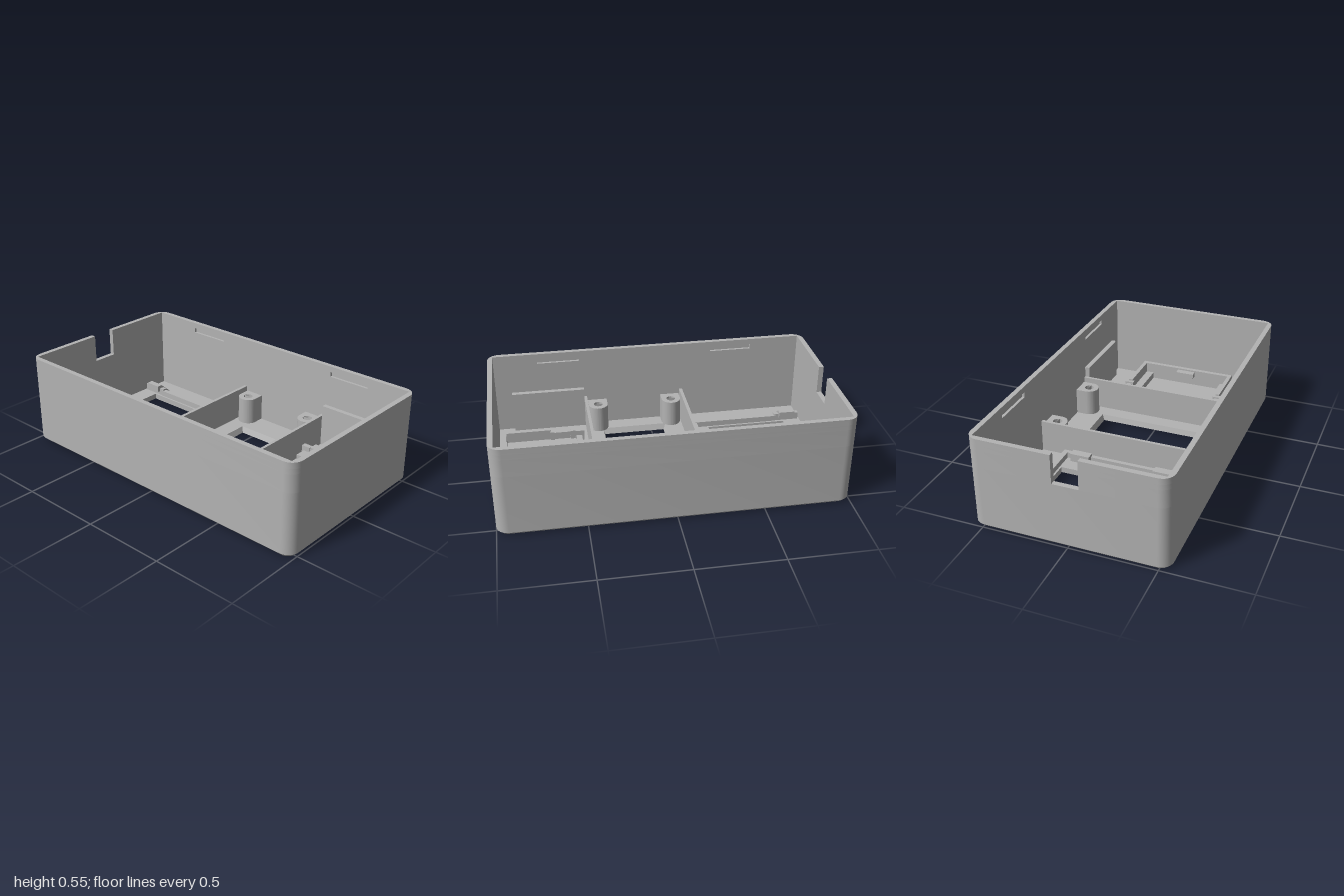
import * as THREE from 'three';
import { toCreasedNormals } from 'three/addons/utils/BufferGeometryUtils.js';

const W = 0.56, D = 1, H = 0.55, IX = 0.53, IZ = 0.97;
const FLOOR = 0.035, CHAMFER = 0.02;

export function createModel() {
  const model = new THREE.Group();
  model.name = 'enclosure';
  const grey = new THREE.MeshStandardMaterial({ color: 0xb3b3b3, side: THREE.DoubleSide });
  grey.name = 'grey plastic';

  const add = (name, geometry) => {
    const mesh = new THREE.Mesh(geometry, grey);
    mesh.name = name;
    model.add(mesh);
    return mesh;
  };
  // box given by its limits
  const box = (name, x0, x1, y0, y1, z0, z1) =>
    add(name, new THREE.BoxGeometry(Math.abs(x1 - x0), y1 - y0, z1 - z0))
      .position.set((x0 + x1) / 2, (y0 + y1) / 2, (z0 + z1) / 2);
  // mirrored pair of boxes
  const pair = (name, x0, x1, ...rest) => {
    box(name + 'Left', x0, x1, ...rest);
    box(name + 'Right', -x1, -x0, ...rest);
  };

  // plan outlines are lists of [x, z]
  const rect = (x0, x1, z0, z1) => [[x0, z0], [x1, z0], [x1, z1], [x0, z1]];
  const roundRect = (w, d, r) => {
    const pts = [];
    [[1, -1], [1, 1], [-1, 1], [-1, -1]].forEach(([sx, sz], q) => {
      for (let i = 0; i <= 10; i++) {
        const a = (q - 1 + i / 10) * Math.PI / 2;
        pts.push([sx * (w - r) + r * Math.cos(a), sz * (d - r) + r * Math.sin(a)]);
      }
    });
    return pts;
  };
  const toShape = (pts, holes = [], sign = -1) => {
    const v = (list) => list.map(([x, z]) => new THREE.Vector2(x, sign * z));
    const shape = new THREE.Shape(v(pts));
    holes.forEach((h) => shape.holes.push(new THREE.Path(v(h))));
    return shape;
  };
  const prism = (name, shape, y0, y1) => {
    const g = new THREE.ExtrudeGeometry(shape, { depth: y1 - y0, bevelEnabled: false, curveSegments: 20 });
    g.rotateX(-Math.PI / 2).translate(0, y0, 0);
    add(name, toCreasedNormals(g, 0.6));
  };
  // band of faces between two matching outlines
  const band = (name, a, ya, b, yb) => {
    const pos = [];
    a.forEach((p, i) => {
      const j = (i + 1) % a.length;
      const A = [p[0], ya, p[1]], B = [a[j][0], ya, a[j][1]];
      const C = [b[j][0], yb, b[j][1]], E = [b[i][0], yb, b[i][1]];
      pos.push(...A, ...C, ...B, ...A, ...E, ...C);
    });
    const g = new THREE.BufferGeometry();
    g.setAttribute('position', new THREE.Float32BufferAttribute(pos, 3));
    g.computeVertexNormals();
    add(name, toCreasedNormals(g, 0.6));
  };

  // floor with two windows, the middle one flared towards the inside
  const outer = roundRect(W, D, 0.07);
  const base = roundRect(W - CHAMFER, D - CHAMFER, 0.05);
  const backWindow = rect(-0.34, 0.34, -0.86, -0.36);
  const midWindow = rect(-0.42, 0.35, -0.08, 0.3);
  const midFlare = rect(-0.437, 0.365, -0.095, 0.31);
  add('floorUnderside', new THREE.ShapeGeometry(toShape(base, [backWindow, midWindow], 1)).rotateX(Math.PI / 2));
  add('floorTop', new THREE.ShapeGeometry(toShape(rect(-IX, IX, -IZ, IZ), [backWindow, midFlare]))
    .rotateX(-Math.PI / 2).translate(0, FLOOR, 0));
  band('bottomChamfer', base, 0, outer, CHAMFER);
  band('backWindowEdge', [...backWindow].reverse(), 0, [...backWindow].reverse(), FLOOR);
  band('midWindowEdge', [...midWindow].reverse(), 0, [...midFlare].reverse(), FLOOR);

  // walls: closed ring below, then layers open at the cable notch
  const N = 0.075, NOTCH_Y = 0.38;
  prism('lowerWalls', toShape(outer, [rect(-IX, IX, -IZ, IZ)]), CHAMFER, NOTCH_Y);
  const slotSteps = (s) => {
    const p = [];
    [[-0.66, -0.4], [0.44, 0.7]].forEach(([a, b]) =>
      p.push([s * IX, a], [s * (IX + 0.016), a], [s * (IX + 0.016), b], [s * IX, b]));
    return p;
  };
  const openRing = (slots) => toShape([
    [N, -D], ...outer, [-N, -D], [-N, -IZ],
    [-IX, -IZ], ...(slots ? slotSteps(-1) : []), [-IX, IZ],
    [IX, IZ], ...(slots ? slotSteps(1).reverse() : []), [IX, -IZ], [N, -IZ],
  ]);
  prism('upperWalls', openRing(false), NOTCH_Y, 0.485);
  prism('slottedWalls', openRing(true), 0.485, 0.515);
  prism('rim', openRing(false), 0.515, H);

  // partitions and side ribs
  box('backPartition', -IX, IX, FLOOR, 0.23, -0.22, -0.2);
  box('frontPartition', -IX, IX, FLOOR, 0.23, 0.4, 0.418);
  pair('sideRib', 0.5, IX, FLOOR, 0.295, 0.418, 0.87);

  // screw posts, rounded inwards and joined to the walls
  for (const s of [-1, 1]) for (const z of [-0.135, 0.335]) {
    const r = 0.06, cx = s * 0.465;
    const shape = new THREE.Shape();
    shape.moveTo(s * IX, -z - s * r);
    shape.lineTo(cx, -z - s * r);
    shape.absarc(cx, -z, r, -s * Math.PI / 2, s * Math.PI / 2, s > 0);
    if (s < 0) {
      shape.curves.pop();
      shape.absarc(cx, -z, r, Math.PI / 2, -Math.PI / 2, true);
    } else {
      shape.curves.pop();
      shape.absarc(cx, -z, r, Math.PI * 1.5, Math.PI / 2, true);
    }
    shape.lineTo(s * IX, -z + s * r);
    shape.holes.push(new THREE.Path().absarc(cx, -z, 0.028, 0, Math.PI * 2, false));
    prism('screwPost', shape, FLOOR, 0.2);
  }

  // frame and retaining clips around the back window
  pair('backFrameSide', 0.352, 0.382, FLOOR, 0.07, -0.81, -0.225);
  box('backFrameFront', -0.352, 0.352, FLOOR, 0.07, -0.25, -0.225);
  pair('backFrameTab', 0.2, 0.32, FLOOR, 0.085, -0.28, -0.23);
  pair('backClipArm', 0.355, 0.385, FLOOR, 0.08, -0.96, -0.8);
  pair('backClipHead', 0.335, 0.375, 0.06, 0.1, -0.93, -0.83);
  for (const s of [-1, 1]) {
    const ramp = new THREE.Shape([[0.37, FLOOR], [0.445, FLOOR], [0.37, 0.1]]
      .map(([x, y]) => new THREE.Vector2(s * x, y)));
    const g = new THREE.ExtrudeGeometry(ramp, { depth: 0.1, bevelEnabled: false });
    add('backClipRamp', g.translate(0, 0, -0.93));
  }
  box('backPad', -0.18, 0.175, FLOOR, FLOOR + 0.008, -0.96, -0.86);

  // front board tray with ledges, clips and catch
  pair('traySide', 0.29, 0.315, FLOOR, 0.14, 0.65, 0.95);
  box('trayFront', -0.29, 0.29, FLOOR, 0.14, 0.922, 0.95);
  pair('trayLedge', 0.24, 0.29, FLOOR, 0.075, 0.49, 0.922);
  box('trayCatch', -0.06, 0.06, 0.1, 0.13, 0.88, 0.922);
  pair('trayClipArm', 0.288, 0.318, FLOOR, 0.12, 0.53, 0.63);
  pair('trayClipRearPost', 0.278, 0.332, FLOOR, 0.13, 0.5, 0.53);
  pair('trayClipFrontPost', 0.278, 0.332, FLOOR, 0.13, 0.628, 0.655);
  pair('trayHookPost', 0.27, 0.3, FLOOR, 0.13, 0.445, 0.5);
  pair('trayHookBar', 0.2, 0.27, FLOOR, 0.1, 0.46, 0.495);

  return model;
}
